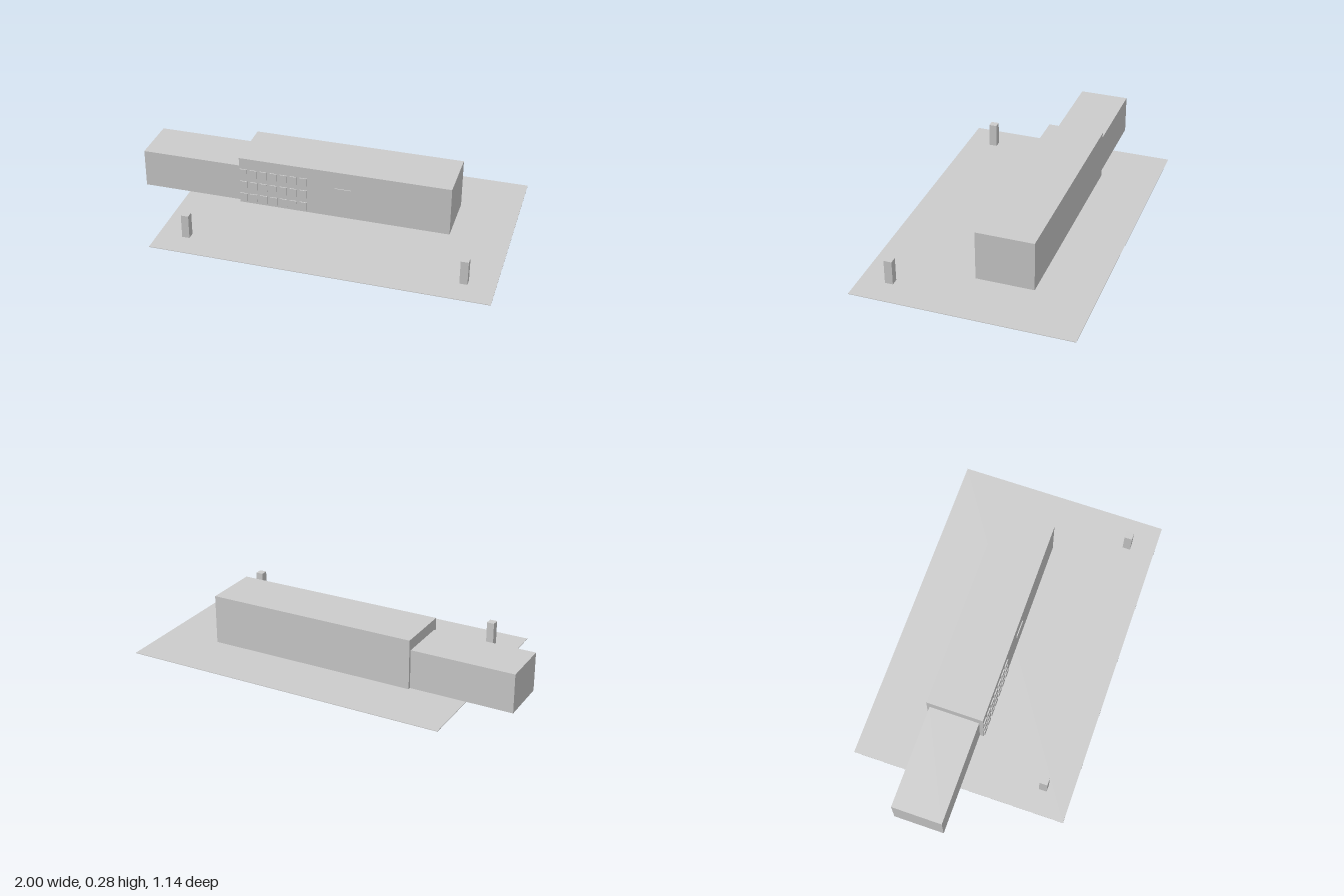
import * as THREE from 'three';

export function createModel() {
  const model = new THREE.Group();
  const grey = new THREE.MeshStandardMaterial({ color: 0xcccccc });
  grey.name = 'plain grey';

  // Box given by its extents on each axis
  function block(name, [x0, x1], [y0, y1], [z0, z1], parent = model) {
    const mesh = new THREE.Mesh(new THREE.BoxGeometry(x1 - x0, y1 - y0, z1 - z0), grey);
    mesh.position.set((x0 + x1) / 2, (y0 + y1) / 2, (z0 + z1) / 2);
    mesh.name = name;
    parent.add(mesh);
    return mesh;
  }

  // Thin site slab
  block('ground', [-0.75, 1], [0, 0.003], [-0.572, 0.572]);

  // Main hall and the lower wing at its right end
  const front = 0.037;
  block('mainBuilding', [-0.45, 0.69], [0.008, 0.275], [-0.267, front]);
  block('wing', [-1, -0.45], [0.008, 0.217], [-0.252, 0.016]);

  // Grid of slightly raised windows
  const windows = new THREE.Group();
  windows.name = 'windows';
  model.add(windows);
  for (let row = 0; row < 3; row++) {
    for (let col = 0; col < 7; col++) {
      const x = -0.446 + col * 0.055;
      const y = 0.021 + row * 0.073;
      block('window', [x, x + 0.04], [y, y + 0.045], [front, front + 0.006], windows);
    }
  }

  // Plain plate on the facade
  block('facadePlate', [0.073, 0.164], [0.15, 0.18], [front, front + 0.005]);

  // Free-standing gate posts
  for (const x of [-0.602, 0.842]) {
    block('gatePost', [x - 0.02, x + 0.02], [0, 0.132], [0.399, 0.441]);
  }

  return model;
}
